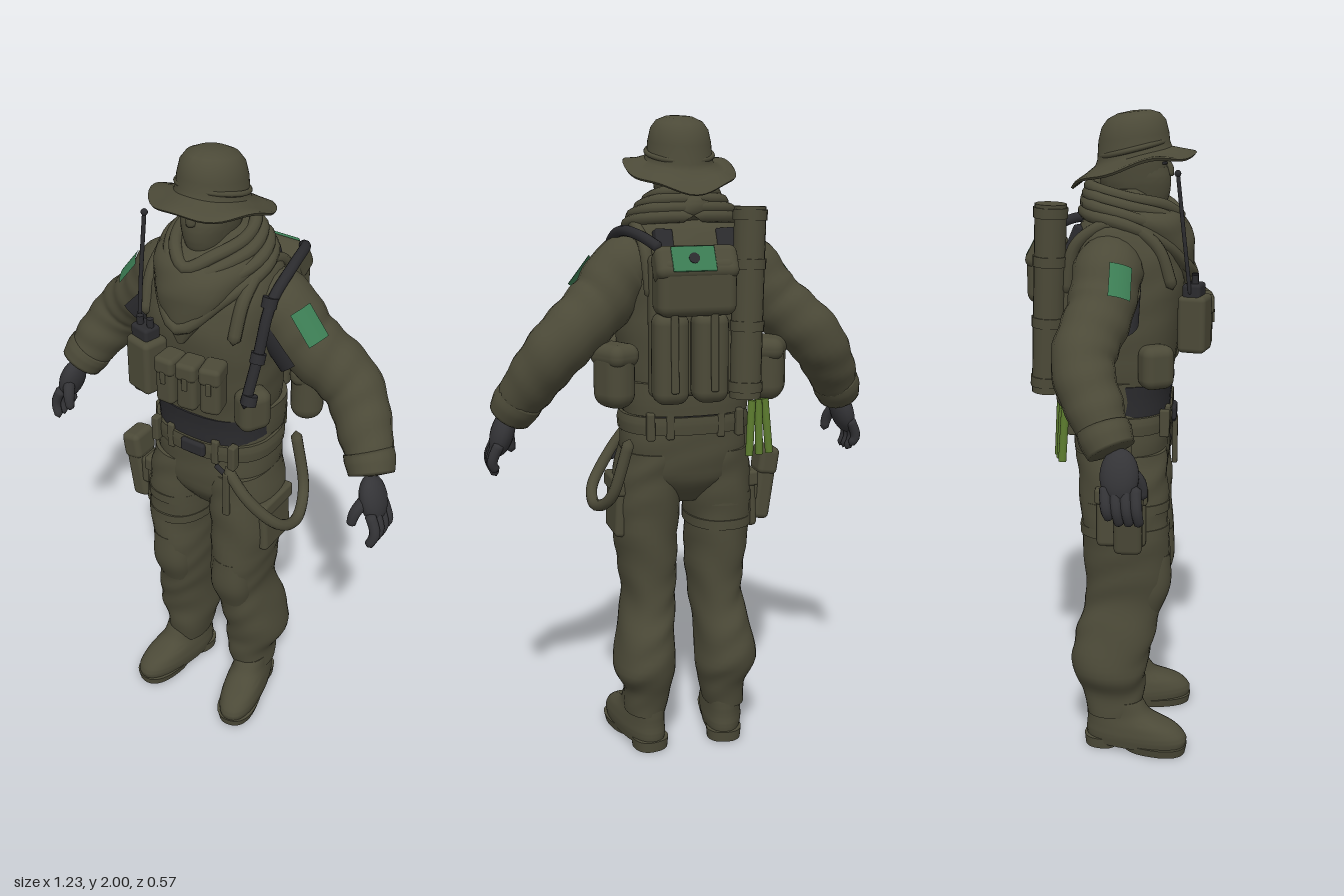
import * as THREE from 'three';
import { mergeVertices, toCreasedNormals } from 'three/addons/utils/BufferGeometryUtils.js';
import { RoundedBoxGeometry } from 'three/addons/geometries/RoundedBoxGeometry.js';

const paint = (name, color, side = THREE.FrontSide) => {
  const m = new THREE.MeshStandardMaterial({ color, side });
  m.name = name;
  return m;
};
const V = (p) => new THREE.Vector3(...p);
const lerp = THREE.MathUtils.lerp;

// Drops the seam so that shading stays smooth all round
function smooth(geo) {
  geo.deleteAttribute('uv');
  geo.deleteAttribute('normal');
  const g = mergeVertices(geo, 1e-5);
  g.computeVertexNormals();
  return g;
}

// Stack of level, slightly squared ovals, listed bottom to top: [x, y, z, rx, rz]
function loft(rings, { steps = 5, sides = 32, power = 2.4, fold = 0 } = {}) {
  const centre = new THREE.CatmullRomCurve3(rings.map((r) => V(r.slice(0, 3))));
  const size = new THREE.CatmullRomCurve3(rings.map((r) => new THREE.Vector3(r[3], 0, r[4])));
  const n = (rings.length - 1) * steps, pos = [], idx = [];
  for (let i = -1; i <= n + 1; i++) {
    const t = THREE.MathUtils.clamp(i / n, 0, 1), c = centre.getPoint(t), s = size.getPoint(t);
    const end = i < 0 || i > n ? 0 : 1;
    for (let j = 0; j < sides; j++) {
      const a = (j / sides) * Math.PI * 2, ca = Math.cos(a), sa = Math.sin(a);
      const k = end * (1 + fold * Math.sin(c.y * 48 + 2.2 * Math.sin(a * 2 + c.y * 9)));
      pos.push(c.x + k * s.x * Math.sign(ca) * Math.abs(ca) ** (2 / power), c.y,
        c.z + k * s.z * Math.sign(sa) * Math.abs(sa) ** (2 / power));
      if (i <= n) {
        const q = (i + 1) * sides, b = (j + 1) % sides;
        idx.push(q + j, q + sides + j, q + b, q + b, q + sides + j, q + sides + b);
      }
    }
  }
  const g = new THREE.BufferGeometry();
  g.setAttribute('position', new THREE.Float32BufferAttribute(pos, 3));
  g.setIndex(idx);
  return toCreasedNormals(g, 0.9);
}

// Round limb along a curve, with one radius per point and closed ends
function limb(points, radii, { n = 32, sides = 14, fold = 0 } = {}) {
  const curve = new THREE.CatmullRomCurve3(points.map(V));
  const geo = new THREE.TubeGeometry(curve, n, 1, sides), p = geo.attributes.position, v = new THREE.Vector3();
  for (let i = 0; i <= n; i++) {
    const c = curve.getPointAt(i / n), f = curve.getUtoTmapping(i / n) * (points.length - 1);
    const k = Math.min(Math.floor(f), points.length - 2);
    const r = i === 0 || i === n ? 0 : lerp(radii[k], radii[k + 1], f - k);
    for (let j = 0; j <= sides; j++) {
      const id = i * (sides + 1) + j, a = (j / sides) * Math.PI * 2;
      v.fromBufferAttribute(p, id).sub(c).multiplyScalar(r * (1 + fold * Math.sin(i * 1.1 + 2 * Math.sin(a))));
      p.setXYZ(id, c.x + v.x, c.y + v.y, c.z + v.z);
    }
  }
  return smooth(geo);
}

export function createModel() {
  const olive = paint('olive cloth', 0x4c4a38, THREE.DoubleSide);
  const black = paint('black webbing', 0x2b2b2e, THREE.DoubleSide);
  const glove = paint('dark glove', 0x343437);
  const green = paint('patch green', 0x3c7d54, THREE.DoubleSide);
  const lime = paint('light stick green', 0x5b7a2e);

  const model = new THREE.Group();
  model.name = 'soldier';
  const part = (name, geo, mat, pos = [0, 0, 0], rot = [0, 0, 0]) => {
    const m = new THREE.Mesh(geo, mat);
    m.name = name;
    m.position.set(...pos);
    m.rotation.set(...rot);
    model.add(m);
    return m;
  };
  const box = (name, mat, size, pos, rot, r = 0.014) =>
    part(name, new RoundedBoxGeometry(...size, 3, Math.min(r, Math.min(...size) / 2.1)), mat, pos, rot);
  const rod = (name, mat, r, h, pos, rot) => part(name, new THREE.CylinderGeometry(r, r, h, 14), mat, pos, rot);
  const tube = (name, mat, r, pts) => part(name, limb(pts, pts.map(() => r), { n: 36, sides: 10 }), mat);

  // Torso, waist and belt; the black waistband shows only in front
  part('vest', loft([[0, 1.2, 0.01, 0.185, 0.15], [0, 1.35, 0.015, 0.2, 0.165], [0, 1.5, 0.02, 0.2, 0.175],
    [0, 1.6, 0.01, 0.2, 0.16], [0, 1.68, 0, 0.175, 0.115], [0, 1.73, 0, 0.09, 0.08]], { fold: 0.008, power: 2.6 }), olive);
  part('waistband', loft([[0, 1.12, 0.005, 0.188, 0.15], [0, 1.17, 0.005, 0.19, 0.154], [0, 1.215, 0.01, 0.193, 0.157]]), black);
  part('vestBackHem', loft([[0, 1.125, -0.022, 0.195, 0.135], [0, 1.17, -0.022, 0.199, 0.137], [0, 1.225, -0.02, 0.2, 0.137]]), olive);
  part('trouserSeat', loft([[0, 0.83, 0.015, 0.06, 0.075], [0, 0.92, 0.01, 0.185, 0.14], [0, 1.02, 0.005, 0.2, 0.148],
    [0, 1.15, 0.005, 0.185, 0.146]], { fold: 0.01 }), olive);
  part('belt', loft([[0, 1.065, 0.005, 0.203, 0.157], [0, 1.095, 0.005, 0.205, 0.159], [0, 1.12, 0.005, 0.2, 0.157]]), olive);
  box('buckle', black, [0.085, 0.045, 0.02], [0.01, 1.095, 0.165]);
  for (const x of [-0.14, -0.08, 0.08, 0.14])
    for (const z of [0.144, -0.134]) box('beltLoop', olive, [0.024, 0.085, 0.03], [x, 1.095, z], [0, 0, 0], 0.006);

  for (const s of [1, -1]) {
    // Trouser leg, knee patch and boot
    part('trouserLeg', loft([[s * 0.135, 0.12, -0.01, 0.064, 0.088], [s * 0.127, 0.2, -0.012, 0.076, 0.1],
      [s * 0.138, 0.28, -0.025, 0.097, 0.12], [s * 0.128, 0.4, -0.005, 0.09, 0.126], [s * 0.113, 0.5, 0.02, 0.084, 0.122],
      [s * 0.113, 0.6, 0.03, 0.091, 0.133], [s * 0.12, 0.75, 0.025, 0.102, 0.135], [s * 0.111, 0.9, 0.018, 0.108, 0.138],
      [s * 0.1, 1.0, 0.01, 0.1, 0.138]], { fold: 0.022, power: 2.2 }), olive);
    part('kneePatch', loft([[s * 0.115, 0.47, 0.075, 0.055, 0.06], [s * 0.115, 0.56, 0.1, 0.068, 0.068],
      [s * 0.117, 0.67, 0.1, 0.06, 0.066]]), olive);
    const foot = [s * 0.135, 0, -0.008], splay = [0, s * 0.2, 0];
    part('boot', loft([[0, 0.018, 0.072, 0.062, 0.162], [0, 0.05, 0.073, 0.067, 0.166], [0, 0.085, 0.06, 0.064, 0.15],
      [0, 0.125, 0.015, 0.057, 0.105], [0, 0.17, 0, 0.058, 0.088]]), olive, foot, splay);
    part('frontSole', loft([[0, 0, 0.135, 0.06, 0.1], [0, 0.028, 0.135, 0.067, 0.105]], { steps: 1 }), olive, foot, splay);
    part('heel', loft([[0, 0, -0.04, 0.055, 0.055], [0, 0.035, -0.04, 0.058, 0.058]], { steps: 1 }), olive, foot, splay);

    // Sleeve with cuff, shoulder patch and dark underarm
    part('sleeve', limb([[s * 0.08, 1.56, -0.02], [s * 0.18, 1.56, -0.02], [s * 0.267, 1.46, -0.035], [s * 0.405, 1.335, -0.07],
      [s * 0.485, 1.22, -0.025], [s * 0.535, 1.13, 0.02]], [0.08, 0.102, 0.097, 0.09, 0.08, 0.062],
      { n: 44, sides: 20, fold: 0.025 }), olive);
    part('cuff', limb([[s * 0.503, 1.19, -0.008], [s * 0.52, 1.16, 0.005], [s * 0.54, 1.12, 0.025]],
      [0.074, 0.076, 0.066], { n: 10, sides: 18 }), olive);
    part('shoulderPatch', new THREE.CylinderGeometry(0.109, 0.109, 0.105, 10, 1, true, s * 1.07 - 0.32, 0.64), green,
      [s * 0.239, 1.493, -0.025], [0, 0, s * 0.66]);
    part('underarm', new THREE.CylinderGeometry(0.104, 0.104, 0.15, 12, 1, true, -s * 0.55 - 0.65, 1.3), black,
      [s * 0.24, 1.487, -0.028], [0, 0, s * 0.75]);

    // Gloved hand
    const palm = part('palm', new THREE.SphereGeometry(1, 18, 12), glove, [s * 0.56, 1.065, 0.045], [0, 0, s * 0.3]);
    palm.scale.set(0.036, 0.076, 0.054);
    for (let k = 0; k < 4; k++) {
      const z = 0.088 - 0.027 * k, drop = k === 3 ? 0.02 : 0;
      part('finger', limb([[s * 0.572, 1.045, z], [s * 0.598, 0.98, z + 0.006], [s * 0.582, 0.928 + drop, z + 0.014]],
        [0.017, 0.016, 0.013], { n: 10, sides: 10 }), glove);
    }
    part('thumb', limb([[s * 0.553, 1.08, 0.07], [s * 0.533, 1.035, 0.1], [s * 0.525, 0.985, 0.107]],
      [0.02, 0.018, 0.013], { n: 10, sides: 10 }), glove);

    // Hip pouches and thigh pockets
    box('canteenPouch', olive, [0.1, 0.19, 0.13], [s * 0.243, 1.25, -0.105], [0, s * 0.5, 0], 0.047);
    box('canteenFlap', olive, [0.106, 0.07, 0.136], [s * 0.241, 1.315, -0.105], [0, s * 0.5, 0], 0.032);
    box('sidePouch', olive, [0.08, 0.13, 0.1], [s * 0.19, 1.28, 0.12], [0, -s * 0.5, 0], 0.03);
    box('cargoPocket', olive, [0.035, 0.17, 0.15], [s * 0.213, 0.81, 0.02], [0, 0, s * 0.05], 0.015);
    box('pocketFlap', olive, [0.044, 0.05, 0.16], [s * 0.213, 0.885, 0.02], [0, 0, s * 0.05], 0.01);

    // Vest shoulder straps and the dark shirt behind them
    tube('shoulderStrap', olive, 0.019, [[s * 0.15, 1.5, 0.165], [s * 0.155, 1.63, 0.113], [s * 0.155, 1.69, 0.0],
      [s * 0.15, 1.63, -0.115], [s * 0.14, 1.48, -0.15]]);
    box('shirtBack', black, [0.055, 0.1, 0.03], [s * 0.095, 1.63, -0.128], [0.4, s * 0.15, 0], 0.006);
    // Eyes and brows
    box('eye', black, [0.026, 0.008, 0.008], [s * 0.032, 1.852, 0.132], [0, s * 0.35, 0], 0.003);
    box('brow', olive, [0.042, 0.012, 0.014], [s * 0.033, 1.868, 0.13], [0, s * 0.35, s * 0.12], 0.005);
  }

  // Head, face mask and scarf
  part('head', loft([[0, 1.7, 0.02, 0.06, 0.07], [0, 1.745, 0.045, 0.062, 0.085], [0, 1.79, 0.04, 0.074, 0.1],
    [0, 1.86, 0.035, 0.08, 0.102], [0, 1.93, 0.03, 0.07, 0.085]], { power: 2.1 }), olive);
  part('mask', loft([[0, 1.72, 0.055, 0.052, 0.075], [0, 1.76, 0.06, 0.063, 0.085], [0, 1.81, 0.058, 0.073, 0.09],
    [0, 1.84, 0.055, 0.072, 0.086]], { power: 2 }), olive);
  part('nose', limb([[0, 1.862, 0.13], [0, 1.835, 0.143], [0, 1.81, 0.14]], [0.009, 0.014, 0.016], { n: 8 }), olive);
  part('scarf', loft([[0, 1.48, 0.2, 0.012, 0.012], [0, 1.56, 0.18, 0.07, 0.042], [0, 1.63, 0.125, 0.125, 0.095],
    [0, 1.7, 0.045, 0.155, 0.145], [0, 1.75, 0.0, 0.115, 0.118], [0, 1.78, -0.005, 0.088, 0.1]],
    { fold: 0.025, power: 2 }), olive);
  [[0.165, 1.69, 1.53], [0.15, 1.715, 1.6], [0.125, 1.74, 1.66], [0.1, 1.762, 1.7]].forEach(([w, y, dip], i) => {
    const back = -0.115 + i * 0.006;
    tube('scarfFold', olive, 0.019, [[0, y + 0.026, back], [-w * 0.75, y + 0.018, back * 0.65], [-w, y - 0.005, 0.03],
      [-w * 0.62, lerp(y, dip, 0.45), 0.15 - i * 0.006], [0, dip, 0.216 - i * 0.014], [w * 0.62, lerp(y, dip, 0.45), 0.15 - i * 0.006],
      [w, y - 0.005, 0.03], [w * 0.75, y + 0.018, back * 0.65], [0, y + 0.026, back]]);
  });

  // Brimmed hat: turned profile, then tilted back with lifted brim sides
  const hatGeo = new THREE.LatheGeometry([[0.08, 1.855], [0.13, 1.842], [0.172, 1.824], [0.177, 1.829], [0.172, 1.836],
    [0.14, 1.853], [0.108, 1.87], [0.102, 1.885], [0.099, 1.925], [0.09, 1.962], [0.073, 1.984], [0.045, 1.996], [0, 2.0]]
    .map(([x, y]) => new THREE.Vector2(x, y)), 48);
  const hp = hatGeo.attributes.position;
  for (let i = 0; i < hp.count; i++) {
    const x = hp.getX(i), z = hp.getZ(i), rim = Math.max(0, Math.hypot(x, z) - 0.1) / 0.077;
    const tilt = hp.getY(i) < 1.9 ? 0.26 : 0.13;
    hp.setXYZ(i, x * 0.96, hp.getY(i) + tilt * z + rim * (0.024 * (x / 0.177) ** 2 + 0.007 * Math.sin(Math.atan2(z, x) * 5)),
      z * 1.05 + 0.038);
  }
  part('hat', toCreasedNormals(smooth(hatGeo), 0.8), olive);
  part('hatBand', new THREE.TorusGeometry(0.1, 0.008, 8, 40), olive, [0, 1.892, 0.038], [Math.PI / 2 - 0.24, 0, 0]);

  // Magazine pouches
  for (let i = 0; i < 3; i++) {
    const x = -0.008 + i * 0.066, z = 0.242 - i * i * 0.005, turn = [0, i * 0.12, 0];
    box('magazinePouch', olive, [0.062, 0.15, 0.075], [x, 1.385, z], turn, 0.016);
    box('magazineFlap', olive, [0.065, 0.055, 0.081], [x, 1.435, z + 0.002], turn, 0.014);
    box('flapTab', olive, [0.016, 0.04, 0.008], [x + i * 0.005, 1.4, z + 0.04], turn, 0.003);
  }
  // Radio with antenna
  box('radioPouch', olive, [0.095, 0.17, 0.085], [-0.1, 1.395, 0.228], [0, -0.25, 0], 0.016);
  box('radio', black, [0.07, 0.08, 0.055], [-0.105, 1.475, 0.225], [0, -0.25, 0], 0.01);
  for (const x of [-0.12, -0.085]) rod('radioKnob', black, 0.01, 0.03, [x, 1.525, 0.228]);
  tube('antenna', black, 0.006, [[-0.135, 1.48, 0.215], [-0.136, 1.65, 0.195], [-0.132, 1.83, 0.174]]);
  part('antennaTip', new THREE.SphereGeometry(0.01, 10, 8), black, [-0.132, 1.83, 0.174]);

  // Drinking hose over the left shoulder
  tube('drinkingHose', black, 0.016, [[0.13, 1.63, -0.24], [0.175, 1.665, -0.17], [0.208, 1.67, -0.05], [0.213, 1.61, 0.07],
    [0.207, 1.46, 0.125], [0.195, 1.31, 0.175]]);
  for (const [y, z] of [[1.61, 0.07], [1.46, 0.125], [1.34, 0.165]]) rod('hoseClip', black, 0.022, 0.03, [0.208, y, z], [-0.35, 0, 0]);

  // Backpack with flag, pouches and long roll
  box('backPanel', olive, [0.3, 0.42, 0.05], [0, 1.4, -0.155], [0, 0, 0], 0.02);
  box('packTop', olive, [0.235, 0.17, 0.11], [0.03, 1.525, -0.222], [0, 0, 0], 0.03);
  box('packLid', olive, [0.245, 0.1, 0.085], [0.03, 1.585, -0.228], [0.5, 0, 0], 0.025);
  box('packFlag', green, [0.128, 0.076, 0.009], [0.045, 1.606, -0.266], [0.5, 0, 0], 0.003);
  rod('flagDisc', black, 0.016, 0.004, [0.045, 1.6084, -0.2704], [Math.PI / 2 + 0.5, 0, 0]);
  for (const x of [-0.02, 0.1]) {
    box('packPouch', olive, [0.105, 0.27, 0.095], [x, 1.315, -0.21], [0, 0, 0], 0.035);
    box('packStrap', olive, [0.022, 0.28, 0.014], [x, 1.36, -0.262], [0.03, 0, 0], 0.005);
  }
  rod('longRoll', olive, 0.047, 0.56, [-0.14, 1.465, -0.2], [0.04, 0, 0.03]);
  for (const y of [1.22, 1.4, 1.58, 1.72])
    rod('rollBand', olive, 0.051, 0.03, [-0.14 - (y - 1.465) * 0.03, y, -0.2 + (y - 1.465) * 0.04], [0.04, 0, 0.03]);
  for (let i = 0; i < 3; i++)
    rod('lightStick', lime, 0.012, 0.17, [-0.225 + i * 0.03, 1.08, -0.15 - i * 0.01], [0.06, 0, -0.08 + i * 0.07]);

  // Thigh holster with leg straps
  box('holster', olive, [0.06, 0.24, 0.085], [-0.282, 0.845, 0.045], [0, 0, 0.14], 0.018);
  box('holsterTop', olive, [0.066, 0.09, 0.095], [-0.293, 0.92, 0.045], [0, 0, 0.14], 0.018);
  box('holsterPlate', olive, [0.05, 0.1, 0.08], [-0.235, 0.84, 0.045]);
  box('holsterHanger', olive, [0.016, 0.22, 0.04], [-0.213, 1.0, 0.03], [0, 0, -0.05], 0.006);
  for (const y of [0.74, 0.82])
    part('legStrap', loft([[-0.119, y, 0.024, 0.106, 0.139], [-0.118, y + 0.03, 0.024, 0.106, 0.139]], { power: 2.2, steps: 1 }), olive);

  // Rope and clip on the left hip
  tube('hipRope', olive, 0.018, [[0.12, 1.06, 0.155], [0.2, 0.96, 0.15], [0.275, 0.86, 0.09], [0.285, 0.825, 0.0],
    [0.255, 0.87, -0.09], [0.2, 1.06, -0.12]]);
  box('hipClip', olive, [0.022, 0.16, 0.018], [0.13, 0.965, 0.165], [0, 0, 0], 0.006);
  tube('clipStrap', black, 0.008, [[0.09, 1.06, 0.165], [0.16, 1.0, 0.155], [0.2, 0.93, 0.14]]);
  return model;
}
